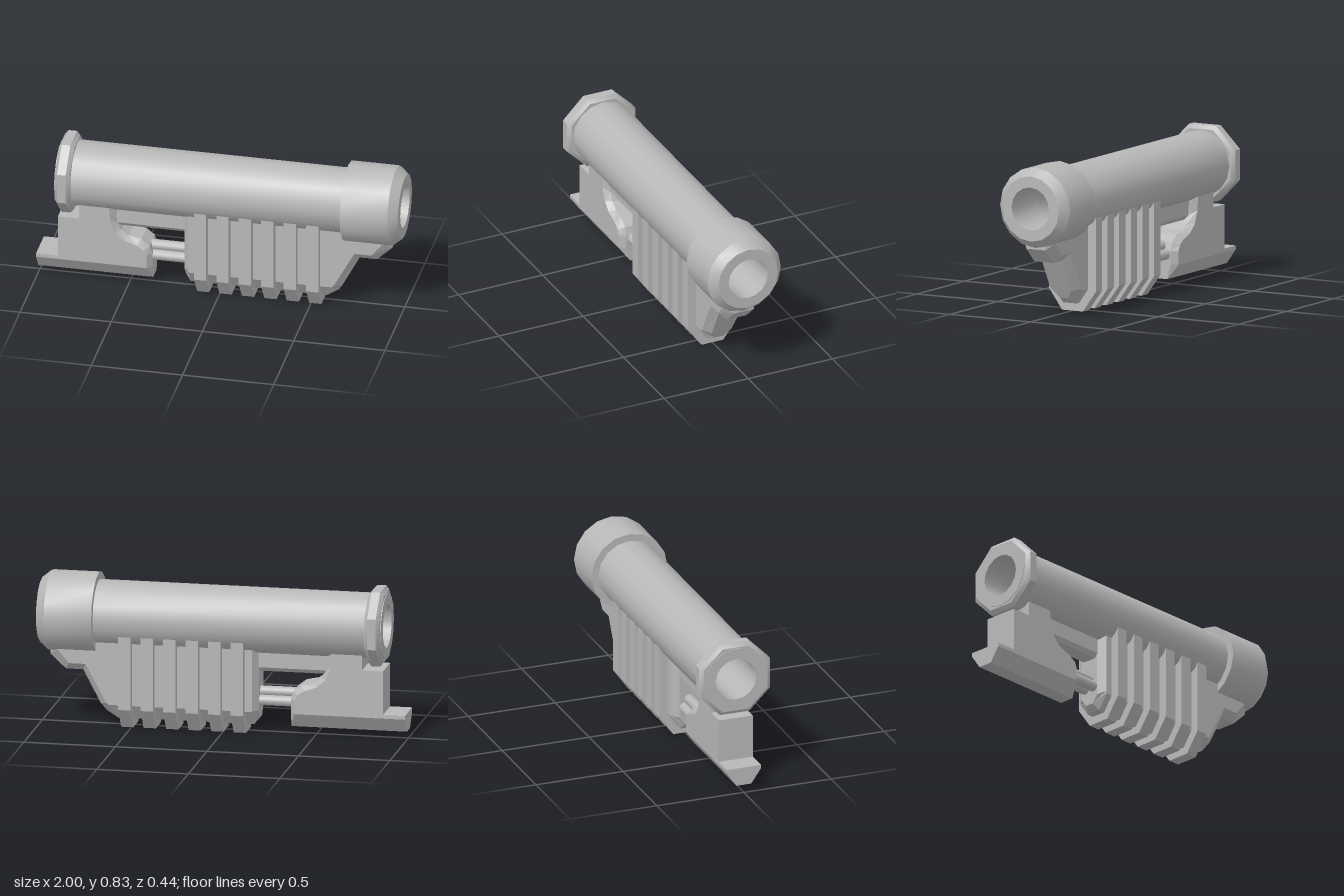
import * as THREE from 'three';
import { toCreasedNormals } from 'three/addons/utils/BufferGeometryUtils.js';

const AXIS_Y = 0.612;
const HALF = 0.098; // half thickness of the lower bodies

// Ring or tube turned round the x axis; profile points are [radius, x]
function turned(profile, sides, phase = 0) {
  const pts = profile.map(([r, x]) => new THREE.Vector2(r, x));
  const geo = new THREE.LatheGeometry(pts, sides, phase);
  geo.rotateZ(-Math.PI / 2);
  geo.translate(0, AXIS_Y, 0);
  return toCreasedNormals(geo, 0.6);
}

// Chamfered slab: each point is [outer x, outer y, outer half width, inner x, inner y]
function chamferedSlab(points) {
  const pos = [];
  const tri = (a, b, c) => pos.push(...a, ...b, ...c);
  const quad = (a, b, c, d) => { tri(a, b, c); tri(a, c, d); };
  const outer = (p, s) => [p[0], p[1], s * p[2]];
  const inner = (p, s) => [p[3] ?? p[0], p[4] ?? p[1], s * HALF];
  points.forEach((p, i) => {
    const q = points[(i + 1) % points.length];
    quad(inner(p, 1), outer(p, 1), outer(q, 1), inner(q, 1));
    quad(inner(q, -1), outer(q, -1), outer(p, -1), inner(p, -1));
    quad(outer(p, 1), outer(p, -1), outer(q, -1), outer(q, 1));
  });
  const flat = points.map((p) => new THREE.Vector2(...inner(p, 1)));
  for (const [a, b, c] of THREE.ShapeUtils.triangulateShape(flat, [])) {
    tri(inner(points[a], 1), inner(points[b], 1), inner(points[c], 1));
    tri(inner(points[c], -1), inner(points[b], -1), inner(points[a], -1));
  }
  const geo = new THREE.BufferGeometry();
  geo.setAttribute('position', new THREE.Float32BufferAttribute(pos, 3));
  geo.computeVertexNormals();
  return geo;
}

// Symmetric cross-section [z, y] extruded along x; lists the +z half from top to bottom
function section(half, x0, x1) {
  const all = [...half, ...half.map(([z, y]) => [-z, y]).reverse()];
  const shape = new THREE.Shape(all.map(([z, y]) => new THREE.Vector2(z, y)));
  const geo = new THREE.ExtrudeGeometry(shape, { depth: x1 - x0, bevelEnabled: false });
  geo.rotateY(Math.PI / 2);
  geo.translate(x0, 0, 0);
  return geo;
}

export function createModel() {
  const group = new THREE.Group();
  const grey = new THREE.MeshStandardMaterial({ color: 0xb8b8b8 });
  grey.name = 'plain grey';
  const add = (name, geo) => {
    const mesh = new THREE.Mesh(geo, grey);
    mesh.name = name;
    group.add(mesh);
  };

  // Long hollow tube, front collar and octagonal rear ring
  add('mainTube', turned([[0.117, -0.884], [0.178, -0.884], [0.178, 0.72], [0.117, 0.72], [0.117, -0.884]], 16));
  add('frontCollar', turned([[0.117, 0.69], [0.218, 0.69], [0.218, 0.95], [0.177, 1], [0.117, 1], [0.117, 0.69]], 16));
  add('rearRing', turned([[0.15, -0.88], [0.198, -0.88], [0.221, -0.862], [0.221, -0.815], [0.2, -0.795], [0.15, -0.795]], 8, Math.PI / 8));

  // Front grip body with a stepped, chamfered nose
  add('gripBody', chamferedSlab([
    [-0.165, 0.045, 0.042, -0.165, 0.125],
    [0.58, 0.045, 0.042, 0.56, 0.125],
    [0.645, 0.08, 0.025, 0.62, 0.126],
    [0.67, 0.125, 0.058, 0.63, 0.135],
    [0.765, 0.305, 0.058, 0.745, 0.345],
    [0.86, 0.305, 0.058, 0.835, 0.345],
    [0.945, 0.385, 0.058, 0.9, 0.42],
    [0.945, 0.48, 0.058, 0.9, 0.48],
    [-0.195, 0.48, 0.058, -0.165, 0.48],
    [-0.195, 0.125, 0.058, -0.165, 0.14],
    [-0.195, 0.08, 0.025, -0.165, 0.13],
  ]));

  // Six raised ribs wrapped round the grip
  for (let i = 0; i < 6; i++) {
    const x = -0.125 + i * 0.123;
    add('gripRib', section([[0.09, 0.47], [0.145, 0.515], [0.145, 0.112], [0.065, 0]], x, x + 0.067));
  }

  // Rear base with an S-curved front edge and a tail step
  add('rearBase', chamferedSlab([
    [-1, 0.045, 0.042, -1, 0.125],
    [-0.37, 0.045, 0.042, -0.395, 0.125],
    [-0.37, 0.125, 0.065, -0.395, 0.13],
    [-0.37, 0.2, 0.065, -0.395, 0.2],
    [-0.385, 0.245, 0.065, -0.41, 0.23],
    [-0.43, 0.28, 0.065, -0.45, 0.255],
    [-0.5, 0.295, 0.065, -0.52, 0.28],
    [-0.54, 0.325, 0.065, -0.565, 0.32],
    [-0.565, 0.37, 0.065, -0.595, 0.39],
    [-0.57, 0.47, 0.065, -0.6, 0.47],
    [-0.765, 0.47, HALF],
    [-0.765, 0.385, HALF],
    [-0.88, 0.385, HALF],
    [-0.88, 0.145, HALF],
    [-1, 0.145, HALF],
  ]));

  // Rail under the tube
  add('underRail', section([[0.06, 0.46], [0.06, 0.365], [0.04, 0.342]], -0.58, -0.18));

  // Bundle of rods joining the base and the grip
  for (const [y, z] of [[0.222, 0], [0.178, 0.03], [0.178, -0.03]]) {
    const rod = new THREE.CylinderGeometry(0.029, 0.029, 0.23, 12);
    rod.rotateZ(Math.PI / 2);
    rod.translate(-0.285, y, z);
    add('connectingRod', rod);
  }
  return group;
}
